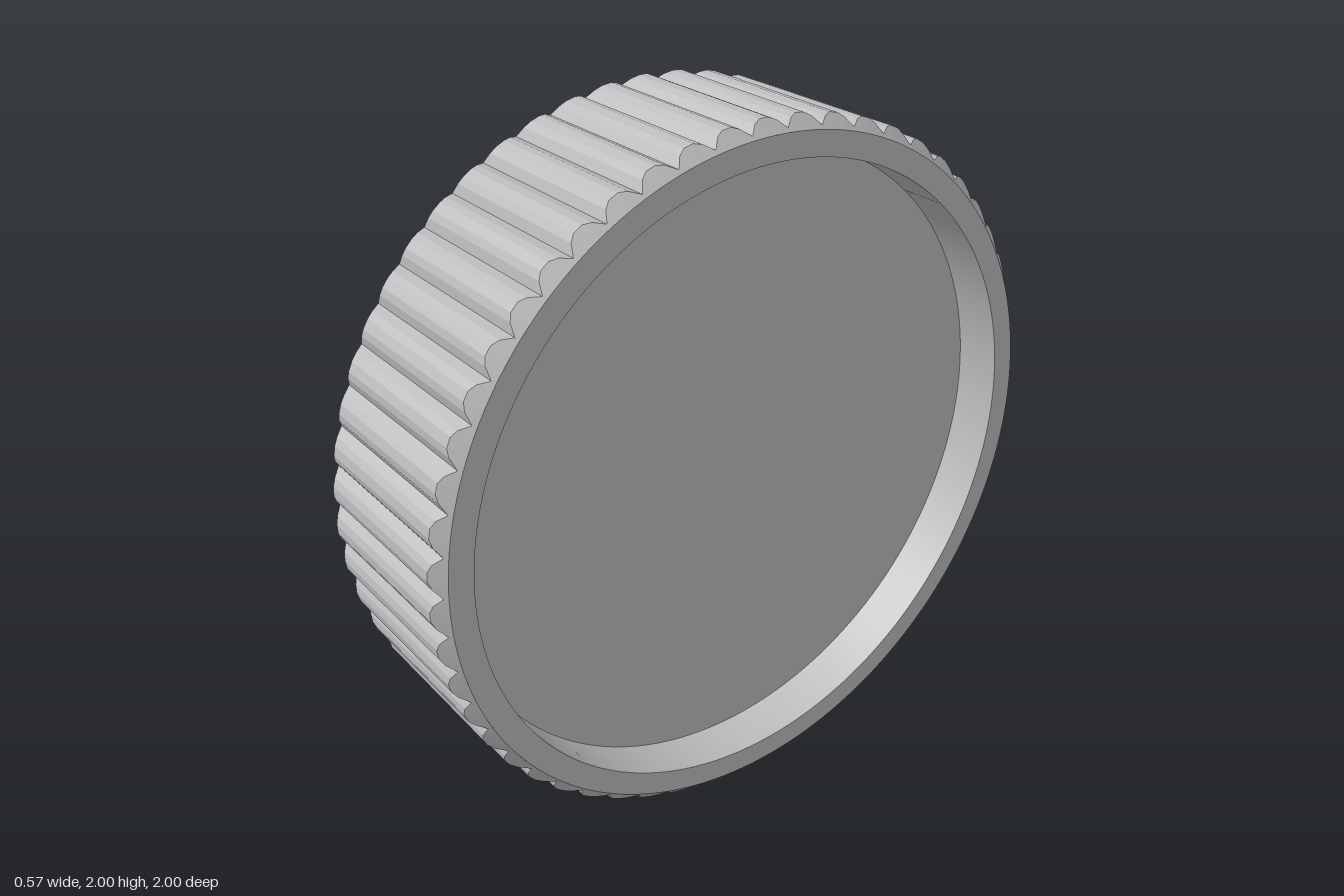
import * as THREE from 'three';

const RIBS = 55;
const HALF = 0.285;        // half of the total width
const FACE_R = 0.964;      // outer radius of the flat rim
const INNER_R = 0.895;     // radius of the recess
const FLOOR_X = 0.145;     // height of the recess floor above the middle plane
// One rib, as [fraction of the pitch, radius], starting in the groove
const RIB = [[-0.5, 0.973], [-0.3, 0.992], [-0.12, 1], [0.12, 1], [0.3, 0.992]];

// Ribbed band whose ends are cut by a 45 degree chamfer
function ribbedBand() {
  const pts = [];
  for (let i = 0; i < RIBS; i++) {
    for (const [u, r] of RIB) pts.push({ a: ((i + u) / RIBS) * Math.PI * 2, r });
  }
  const pos = [];
  const at = (x, r, a) => [x, r * Math.cos(a), r * Math.sin(a)];
  const quad = (a, b, c, d) => pos.push(...a, ...b, ...c, ...a, ...c, ...d);
  pts.forEach((p, i) => {
    const q = pts[(i + 1) % pts.length];
    const px = HALF - (p.r - FACE_R), qx = HALF - (q.r - FACE_R);
    const A = at(-px, p.r, p.a), B = at(px, p.r, p.a);
    const C = at(qx, q.r, q.a), D = at(-qx, q.r, q.a);
    quad(A, D, C, B);
    quad(B, C, at(HALF, FACE_R, q.a), at(HALF, FACE_R, p.a));
    quad(D, A, at(-HALF, FACE_R, p.a), at(-HALF, FACE_R, q.a));
  });
  const g = new THREE.BufferGeometry();
  g.setAttribute('position', new THREE.Float32BufferAttribute(pos, 3));
  g.computeVertexNormals();
  return g;
}

export function createModel() {
  const model = new THREE.Group();
  model.name = 'ribbedWheel';
  const grey = new THREE.MeshStandardMaterial({ color: 0xbcbcbf });
  grey.name = 'light grey';

  const band = new THREE.Mesh(ribbedBand(), grey);
  band.name = 'ribbedBand';
  band.position.y = 1;
  model.add(band);

  // Each face: flat rim, recess wall and recess floor
  const profiles = {
    Rim: [[FACE_R, HALF], [INNER_R, HALF]],
    RecessWall: [[INNER_R, HALF], [INNER_R, FLOOR_X]],
    RecessFloor: [[INNER_R, FLOOR_X], [0, FLOOR_X]],
  };
  for (const [side, sign] of [['left', 1], ['right', -1]]) {
    for (const [part, profile] of Object.entries(profiles)) {
      const g = new THREE.LatheGeometry(profile.map(([r, y]) => new THREE.Vector2(r, y)), RIBS * RIB.length);
      g.rotateZ(-sign * Math.PI / 2);
      const mesh = new THREE.Mesh(g, grey);
      mesh.name = side + part;
      mesh.position.y = 1;
      model.add(mesh);
    }
  }
  return model;
}
